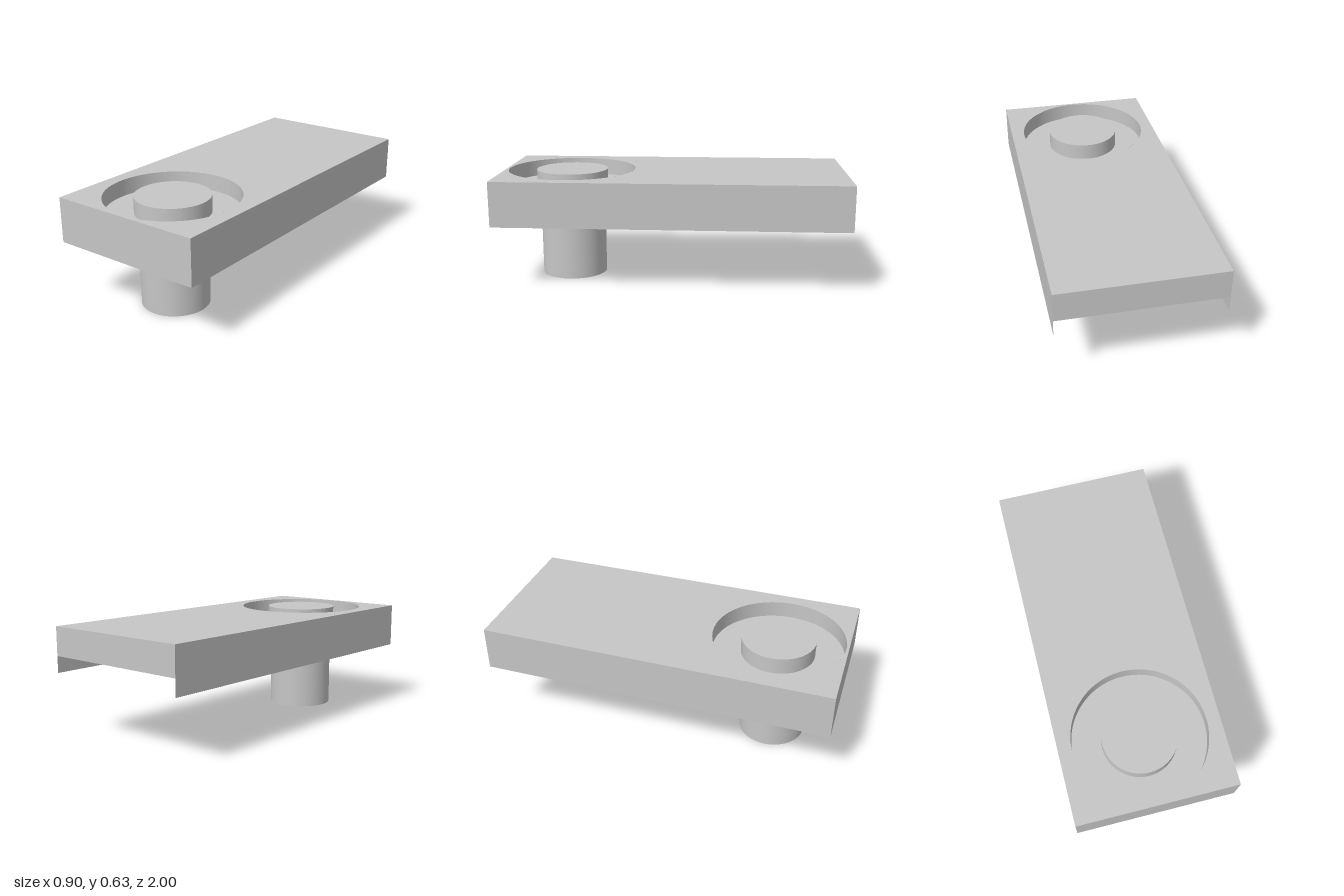
import * as THREE from 'three';

export function createModel() {
  const group = new THREE.Group();
  const grey = new THREE.MeshStandardMaterial({ color: 0xc6c6c6, side: THREE.DoubleSide });
  grey.name = 'light grey';

  // half width, half length, and the main heights
  const W = 0.45, L = 1;
  const top = 0.63, floorY = 0.535, under = 0.467, skirtY = 0.373;
  const cz = 0.61, pocketR = 0.375, knobR = 0.21, stemR = 0.192, SEG = 96;

  const add = (name, geometry, x, y, z, rx = 0, ry = 0) => {
    const mesh = new THREE.Mesh(geometry, grey);
    mesh.name = name;
    mesh.position.set(x, y, z);
    mesh.rotation.set(rx, ry, 0);
    group.add(mesh);
  };
  const up = -Math.PI / 2;

  // top plate with the round pocket opening (shape y becomes -z)
  const plate = new THREE.Shape([
    new THREE.Vector2(-W, -L), new THREE.Vector2(W, -L),
    new THREE.Vector2(W, L), new THREE.Vector2(-W, L),
  ]);
  plate.holes.push(new THREE.Path().absarc(0, -cz, pocketR, 0, Math.PI * 2, true));
  add('topPlate', new THREE.ShapeGeometry(plate, SEG), 0, top, 0, up);

  // pocket: wall and ring-shaped floor
  const depth = top - floorY;
  add('pocketWall', new THREE.CylinderGeometry(pocketR, pocketR, depth, SEG, 1, true), 0, top - depth / 2, cz);
  add('pocketFloor', new THREE.RingGeometry(knobR, pocketR, SEG), 0, floorY, cz, up);

  // knob flush with the top
  add('knob', new THREE.CylinderGeometry(knobR, knobR, depth, SEG), 0, top - depth / 2, cz);

  // flat underside, recessed inside the skirt
  add('underside', new THREE.PlaneGeometry(2 * W, 2 * L), 0, under, 0, -up);

  // thin walls: sides and front hang below the underside, the back is open there
  const wallH = top - skirtY, wallY = (top + skirtY) / 2;
  for (const s of [-1, 1]) {
    add(s > 0 ? 'leftWall' : 'rightWall', new THREE.PlaneGeometry(2 * L, wallH), s * W, wallY, 0, 0, s * Math.PI / 2);
  }
  add('frontWall', new THREE.PlaneGeometry(2 * W, wallH), 0, wallY, L);
  add('backWall', new THREE.PlaneGeometry(2 * W, top - under), 0, (top + under) / 2, -L, 0, Math.PI);

  // stem below the knob
  add('stem', new THREE.CylinderGeometry(stemR, stemR, under, SEG), 0, under / 2, cz);

  return group;
}
